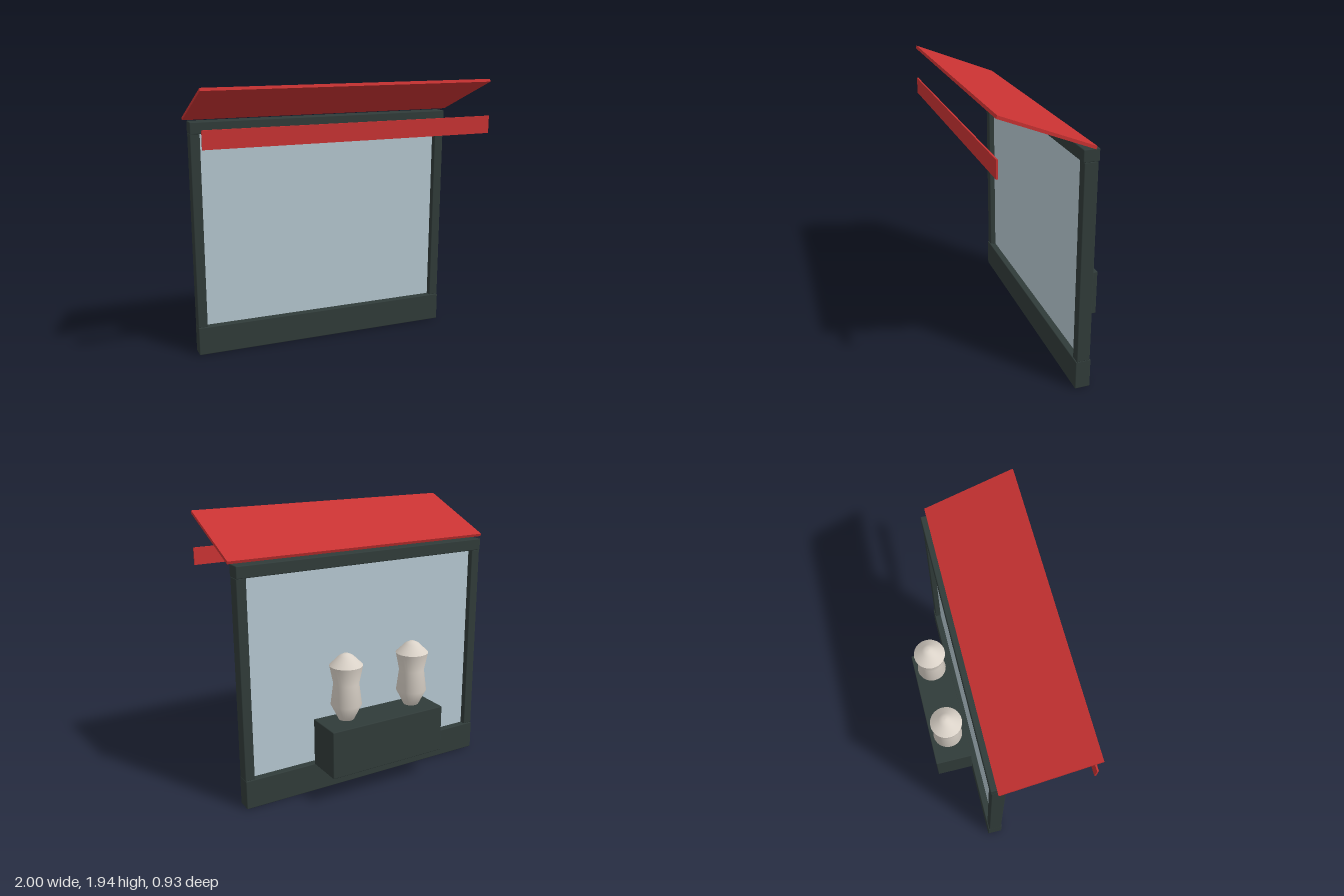
import * as THREE from 'three';
import { RoundedBoxGeometry } from 'three/addons/geometries/RoundedBoxGeometry.js';

const material = (name, color) => {
  const m = new THREE.MeshStandardMaterial({ color });
  m.name = name;
  return m;
};

export function createModel() {
  const frame = material('dark frame', 0x303b39);
  const glass = material('pale glass', 0xb4c6cf);
  const red = material('awning red', 0xc83232);
  const cream = material('mannequin cream', 0xdad2c8);
  cream.side = THREE.DoubleSide;

  const model = new THREE.Group();
  model.name = 'shopWindow';

  const add = (name, geometry, mat, x, y, z, parent = model) => {
    const mesh = new THREE.Mesh(geometry, mat);
    mesh.name = name;
    mesh.position.set(x, y, z);
    parent.add(mesh);
    return mesh;
  };
  const rounded = (w, h, d) => new RoundedBoxGeometry(w, h, d, 2, 0.006);

  // Window frame: sill, lintel, two posts and the pane
  const z = -0.135;
  add('sill', rounded(1.926, 0.208, 0.106), frame, 0, 0.104, z);
  add('lintel', rounded(1.926, 0.082, 0.106), frame, 0, 1.63, z);
  for (const side of [-1, 1]) {
    add(side > 0 ? 'leftPost' : 'rightPost', rounded(0.068, 1.385, 0.092), frame, side * 0.929, 0.898, z);
  }
  add('pane', new THREE.BoxGeometry(1.8, 1.39, 0.01), glass, 0, 0.898, z);

  // Awning rising towards the front, with its hanging valance
  const awning = add('awning', new THREE.BoxGeometry(2, 0.02, 0.65), red, 0, 1.81, 0.155);
  awning.rotation.x = -0.38;
  add('valance', new THREE.BoxGeometry(2, 0.119, 0.011), red, 0, 1.63, 0.4575);

  // Display plinth behind the pane
  add('plinth', rounded(0.894, 0.34, 0.271), frame, 0, 0.38, -0.3275);

  // Two turned busts; the shoulders form a crisp rim
  const lathe = (pts) => new THREE.LatheGeometry(pts.map(([r, y]) => new THREE.Vector2(r, y)), 32);
  const body = lathe([[0, 0], [0.015, 0.006], [0.054, 0.017], [0.107, 0.125], [0.088, 0.275], [0.114, 0.402]]);
  const shoulders = lathe([[0.114, 0.402], [0.05, 0.466], [0.022, 0.481], [0, 0.483]]);
  for (const side of [-1, 1]) {
    const bust = new THREE.Group();
    bust.name = side > 0 ? 'leftBust' : 'rightBust';
    bust.position.set(side * 0.268, 0.552, -0.329);
    add('torso', body, cream, 0, 0, 0, bust);
    add('shoulders', shoulders, cream, 0, 0, 0, bust);
    model.add(bust);
  }

  return model;
}
